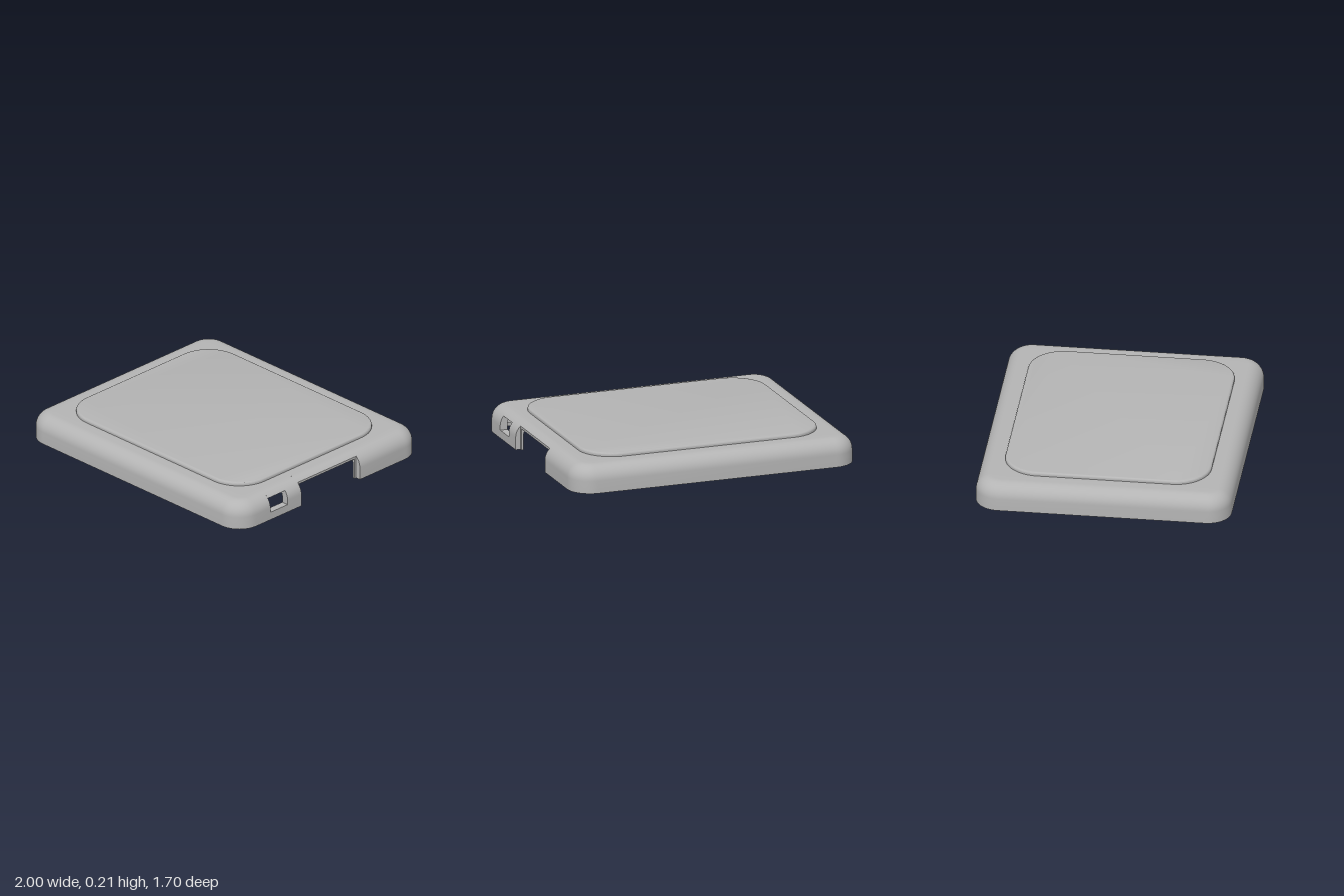
import * as THREE from 'three';
import { mergeGeometries, toCreasedNormals } from 'three/addons/utils/BufferGeometryUtils.js';

const HX = 1, HZ = 0.85, R = 0.16;        // half sizes and corner radius
const CX = HX - R, CZ = HZ - R;           // corner centres
const TOP = 0.185, CEIL = 0.15, WALL = 0.05;

// Profile points are [inset from the outer face, height]
function arc(r, d, y, a0, a1, n = 10) {
  const pts = [];
  for (let i = 0; i <= n; i++) {
    const a = a0 + (a1 - a0) * i / n;
    pts.push([d - r * Math.cos(a), y + r * Math.sin(a)]);
  }
  return pts;
}
const outerArc = (a0 = 0) => arc(0.1, 0.1, 0.085, a0, Math.PI / 2);
const innerArc = arc(0.05, 0.1, 0.1, Math.PI / 2, 0, 8);
const roof = [[R, TOP], [R, CEIL]];

const fullProfile = [[0, 0], ...outerArc(), ...roof, ...innerArc, [WALL, 0]];
const recessStart = Math.acos(0.65);
const recessProfile = [[0.035, 0], ...outerArc(recessStart), ...roof, ...innerArc, [WALL, 0]];
const openingProfile = [[0.035, 0.145], ...outerArc(recessStart), ...roof, [0.1, CEIL], [0.078, 0.145]];
const abovePort = [...outerArc(Math.asin(0.65)), ...roof];
const belowPort = [[0, 0], [0, 0.055], [WALL, 0.055], [WALL, 0]];

const toVectors = (profile) => profile.map(([d, y]) => new THREE.Vector2(R - d, y));

// Straight wall piece running along z, centred, facing +x
function wall(profile, length) {
  const g = new THREE.ExtrudeGeometry(new THREE.Shape(toVectors(profile)), { depth: length, bevelEnabled: false });
  return g.translate(0, 0, -length / 2);
}

function roundedRect(hx, hz, r) {
  const s = new THREE.Shape();
  s.absarc(hx - r, hz - r, r, 0, Math.PI / 2);
  s.absarc(-hx + r, hz - r, r, Math.PI / 2, Math.PI);
  s.absarc(-hx + r, -hz + r, r, Math.PI, Math.PI * 1.5);
  s.absarc(hx - r, -hz + r, r, Math.PI * 1.5, Math.PI * 2);
  s.closePath();
  return s;
}

export function createModel() {
  const model = new THREE.Group();
  model.name = 'enclosureLid';
  const grey = new THREE.MeshStandardMaterial({ color: 0xb4b4b4 });
  grey.name = 'grey plastic';
  const add = (name, geometry) => {
    const mesh = new THREE.Mesh(geometry, grey);
    mesh.name = name;
    model.add(mesh);
    return mesh;
  };

  // Shell: three plain walls, four corners and the roof
  const parts = [
    wall(fullProfile, 2 * CZ).rotateY(Math.PI).translate(-CX, 0, 0),
    wall(fullProfile, 2 * CX).rotateY(-Math.PI / 2).translate(0, 0, CZ),
    wall(fullProfile, 2 * CX).rotateY(Math.PI / 2).translate(0, 0, -CZ),
    new THREE.BoxGeometry(2 * CX, TOP - CEIL, 2 * CZ).translate(0, (TOP + CEIL) / 2, 0),
  ];
  [[1, 1], [1, -1], [-1, -1], [-1, 1]].forEach(([sx, sz], k) => {
    const closed = toVectors([...fullProfile, fullProfile[0]]);
    parts.push(new THREE.LatheGeometry(closed, 12, k * Math.PI / 2, Math.PI / 2).translate(sx * CX, 0, sz * CZ));
  });

  // Left wall in sections, with the wide recessed opening and the small port
  const sections = [
    [-CZ, -0.272, fullProfile],
    [-0.272, -0.257, recessProfile],
    [-0.257, 0.257, openingProfile],
    [0.257, 0.272, recessProfile],
    [0.272, 0.4, fullProfile],
    [0.4, 0.56, abovePort],
    [0.4, 0.56, belowPort],
    [0.56, CZ, fullProfile],
  ];
  for (const [z0, z1, profile] of sections) {
    parts.push(wall(profile, z1 - z0).translate(CX, 0, (z0 + z1) / 2));
  }
  const flat = parts.map((g) => (g.index ? g.toNonIndexed() : g));
  add('shell', toCreasedNormals(mergeGeometries(flat), 0.6));

  // Raised top panel with a softened edge
  const b = 0.014;
  const panel = new THREE.ExtrudeGeometry(roundedRect(0.832 - b, 0.685 - b, 0.235 - b), {
    depth: 0.03 - b, bevelEnabled: true, bevelSize: b, bevelThickness: b, bevelSegments: 4, curveSegments: 16,
  });
  panel.rotateX(-Math.PI / 2).translate(0, 0.18, 0);
  add('topPanel', toCreasedNormals(panel, 0.6));

  // Stepped screw posts under the roof
  const postPoints = [[0, 0.11], [0.022, 0.11], [0.022, 0.06], [0.042, 0.06], [0.042, 0.085], [0.065, 0.085], [0.065, 0.16]]
    .map(([x, y]) => new THREE.Vector2(x, y));
  const post = toCreasedNormals(new THREE.LatheGeometry(postPoints, 24), 0.6);
  for (const sx of [-1, 1]) {
    for (const sz of [-1, 1]) add('screwPost', post).position.set(sx * 0.86, 0, sz * 0.71);
  }
  return model;
}
